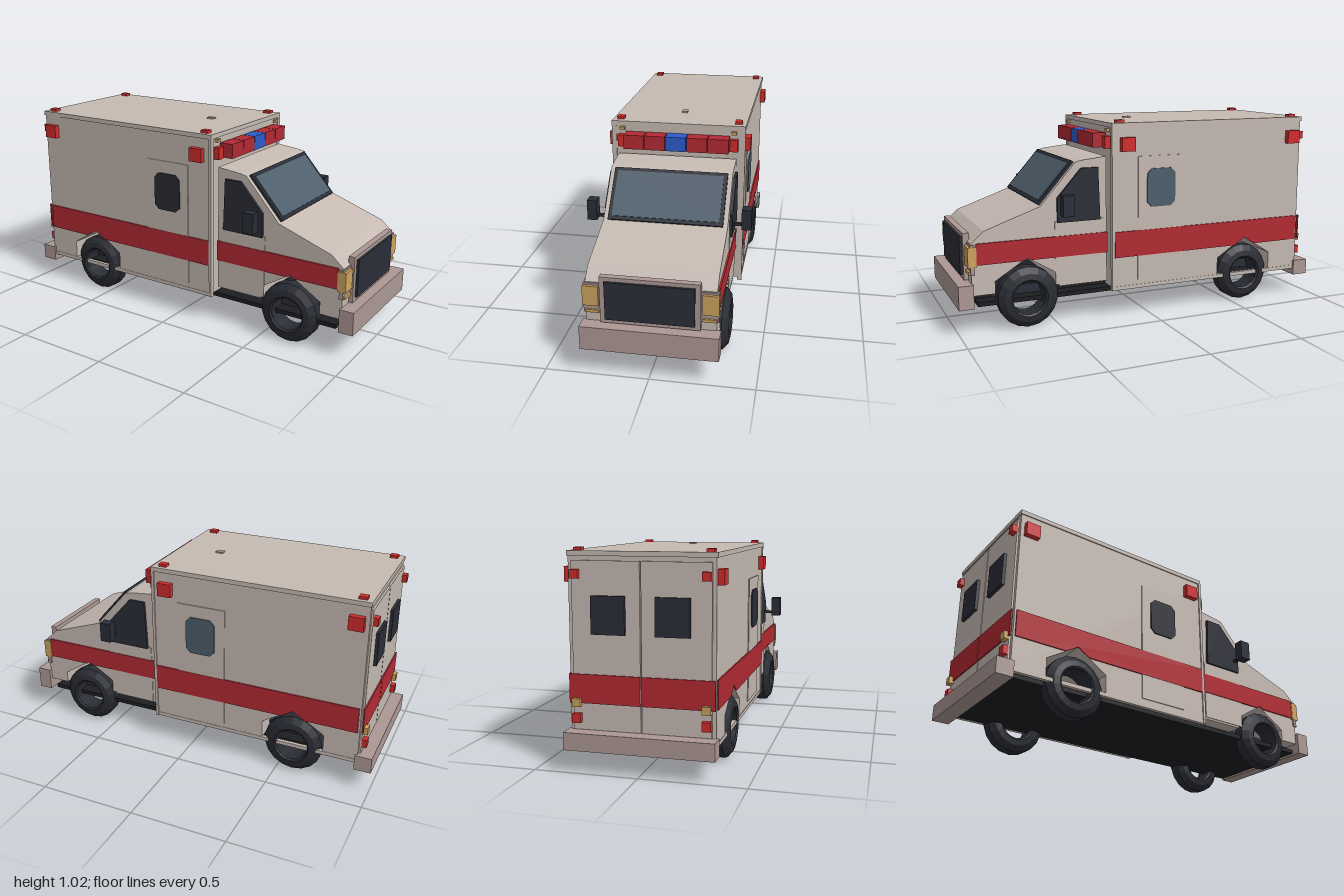
import * as THREE from 'three';

const mat = (name, color) => Object.assign(new THREE.MeshStandardMaterial({ color }), { name });

export function createModel() {
  const root = new THREE.Group();
  root.name = 'ambulance';
  const body = mat('body beige', 0xc6bab2);
  const bumperMat = mat('bumper taupe', 0xac9894);
  const stripeMat = mat('stripe red', 0xb22a33);
  const lampRed = mat('lamp red', 0xd02c2c);
  const lampBlue = mat('lamp blue', 0x2c5ccb);
  const amber = mat('lamp amber', 0xcba35f);
  const dark = mat('dark trim', 0x2a2d37);
  const glass = mat('glass', 0x4e5f6c);
  const floorMat = mat('underbody black', 0x1d1e21);

  const add = (name, geo, m, parent = root) => {
    const mesh = new THREE.Mesh(geo, m);
    mesh.name = name;
    parent.add(mesh);
    return mesh;
  };
  // Box given by its limits on each axis
  const box = (name, m, x0, x1, y0, y1, z0, z1) => {
    const g = new THREE.BoxGeometry(x1 - x0, y1 - y0, z1 - z0);
    g.translate((x0 + x1) / 2, (y0 + y1) / 2, (z0 + z1) / 2);
    return add(name, g, m);
  };
  const boxPair = (name, m, x0, x1, y0, y1, z0, z1) => {
    box(name + 'Right', m, x0, x1, y0, y1, z0, z1);
    box(name + 'Left', m, x0, x1, y0, y1, -z1, -z0);
  };
  // Side profile extruded between two z limits
  const slab = (name, m, pts, z0, z1) => {
    const shape = new THREE.Shape(pts.map(p => new THREE.Vector2(...p)));
    const g = new THREE.ExtrudeGeometry(shape, { depth: z1 - z0, bevelEnabled: false });
    g.translate(0, 0, z0);
    return add(name, g, m);
  };
  const slabPair = (name, m, pts, z0, z1, m2 = m) => {
    slab(name + 'Right', m, pts, z0, z1);
    slab(name + 'Left', m2, pts, -z1, -z0);
  };

  const rearX = -0.58, frontX = 0.65, peak = 0.355, slope = 0.62;
  // Peaked wheel opening, listed from rear to front
  const arch = (cx, y) => [[cx - 0.165, y], [cx - 0.165, 0.253], [cx, peak], [cx + 0.165, 0.253], [cx + 0.165, y]];
  // Stripe with a notch where the opening cuts into it
  const stripe = (x0, x1, y0, cx) => {
    const d = (peak - y0) / slope;
    return [[x0, y0], [cx - d, y0], [cx, peak], [cx + d, y0], [x1, y0], [x1, 0.45], [x0, 0.45]];
  };

  // Rear compartment
  slab('rearBody', body, [[-0.925, 0.155], ...arch(rearX, 0.155), [0.205, 0.155], [0.205, 0.985], [-0.925, 0.985]], -0.343, 0.343);
  box('roofCap', body, -0.93, 0.21, 0.985, 1.008, -0.349, 0.349);
  boxPair('sill', body, -0.925, 0.2, 0.14, 0.16, 0.325, 0.345);
  boxPair('cornerTrim', body, 0.195, 0.21, 0.14, 0.985, 0.325, 0.349);
  boxPair('sideDoor', body, -0.2, 0.065, 0.185, 0.835, 0.343, 0.348);
  slabPair('rearStripe', stripeMat, stripe(-0.915, 0.195, 0.315, rearX), 0.343, 0.35);
  slabPair('sideDoorWindow', dark, [[-0.12, 0.57], [-0.01, 0.57], [0.015, 0.595], [0.015, 0.745],
    [-0.01, 0.77], [-0.12, 0.77], [-0.145, 0.745], [-0.145, 0.595]], 0.347, 0.354, glass);

  // Rear doors
  boxPair('rearDoor', body, -0.935, -0.925, 0.19, 0.965, 0.003, 0.325);
  boxPair('rearDoorStripe', stripeMat, -0.941, -0.934, 0.315, 0.45, 0.003, 0.343);
  boxPair('rearDoorWindow', dark, -0.951, -0.934, 0.635, 0.81, 0.07, 0.23);

  // Rear lamps, side lamps and roof lamps
  boxPair('rearUpperLamp', lampRed, -0.96, -0.925, 0.885, 0.925, 0.285, 0.325);
  boxPair('rearLowerLamp', lampRed, -0.96, -0.925, 0.225, 0.268, 0.285, 0.325);
  boxPair('rearAmberLamp', amber, -0.96, -0.925, 0.3, 0.338, 0.285, 0.325);
  for (const [x0, x1] of [[-0.905, -0.83], [0.09, 0.165]]) boxPair('sideLamp', lampRed, x0, x1, 0.865, 0.935, 0.34, 0.372);
  for (const x of [-0.88, 0.155]) boxPair('roofLamp', lampRed, x - 0.021, x + 0.021, 1.005, 1.022, 0.291, 0.327);
  box('roofVent', bumperMat, -0.04, 0, 1.005, 1.015, -0.015, 0.015);

  // Light bar above the cab
  for (let i = -2; i <= 2; i++) {
    box('lightBarSegment', i ? stripeMat : lampBlue, 0.213, 0.285, 0.882, 0.956, i * 0.109 - 0.0525, i * 0.109 + 0.0525);
  }
  boxPair('frontCornerLamp', lampRed, 0.205, 0.235, 0.878, 0.94, 0.272, 0.313);
  boxPair('frontMarker', amber, 0.205, 0.222, 0.964, 0.979, 0.277, 0.304);

  // Cab
  slab('cab', body, [[0.225, 0.19], ...arch(frontX, 0.19), [0.93, 0.19], [0.93, 0.45], [0.865, 0.508],
    [0.578, 0.608], [0.392, 0.818], [0.36, 0.826], [0.228, 0.84]], -0.308, 0.308);
  boxPair('cabDoor', body, 0.247, 0.505, 0.2, 0.525, 0.308, 0.312);
  slabPair('cabStripe', stripeMat, stripe(0.225, 0.905, 0.343, frontX), 0.308, 0.316);
  slabPair('cabWindow', dark, [[0.265, 0.52], [0.493, 0.52], [0.493, 0.645], [0.365, 0.788], [0.275, 0.788]], 0.308, 0.322);

  // Windshield leaning along the front pillar
  const shield = new THREE.Group();
  shield.name = 'windshield';
  shield.position.set(0.488, 0.715, 0);
  shield.rotation.z = Math.atan2(-0.21, 0.186);
  root.add(shield);
  add('windshieldFrame', new THREE.BoxGeometry(0.276, 0.018, 0.57), dark, shield);
  add('windshieldGlass', new THREE.BoxGeometry(0.24, 0.006, 0.534), glass, shield).position.y = 0.01;

  // Mirrors
  boxPair('mirrorArm', dark, 0.455, 0.475, 0.577, 0.59, 0.3, 0.37);
  boxPair('mirror', dark, 0.435, 0.495, 0.565, 0.67, 0.366, 0.415);

  // Nose: grille, headlamps and indicators
  box('grilleSurround', bumperMat, 0.92, 0.952, 0.255, 0.49, -0.235, 0.235);
  box('grille', dark, 0.945, 0.964, 0.277, 0.47, -0.21, 0.21);
  boxPair('headlampBezel', bumperMat, 0.915, 0.935, 0.295, 0.445, 0.235, 0.317);
  boxPair('headlamp', amber, 0.905, 0.948, 0.335, 0.435, 0.243, 0.319);
  boxPair('indicator', amber, 0.92, 0.945, 0.298, 0.312, 0.243, 0.309);

  // Bumpers and underbody
  box('frontBumper', bumperMat, 0.925, 1, 0.13, 0.25, -0.327, 0.327);
  box('rearBumper', bumperMat, -1, -0.912, 0.105, 0.188, -0.355, 0.355);
  box('chassis', floorMat, -0.9, 0.92, 0.14, 0.2, -0.23, 0.23);
  box('floor', floorMat, -0.92, 0.9, 0.13, 0.152, -0.3, 0.3);
  for (const x of [rearX, frontX]) box('axleBeam', dark, x - 0.165, x + 0.165, 0.131, 0.2, -0.232, 0.232);

  // Hollow tyres with tapered shoulders
  const tyre = new THREE.LatheGeometry([[0.085, -0.05], [0.095, -0.058], [0.125, -0.052], [0.155, -0.027],
    [0.155, 0.027], [0.125, 0.052], [0.095, 0.058], [0.085, 0.05], [0.085, -0.05]]
    .map(p => new THREE.Vector2(...p)), 18).rotateX(Math.PI / 2);
  const tyreMat = mat('tyre', 0x2a2c34);
  tyreMat.flatShading = true;
  tyreMat.side = THREE.DoubleSide;
  for (const [x, z] of [[rearX, 0.297], [frontX, 0.285]]) {
    for (const s of [-1, 1]) add('wheel', tyre, tyreMat).position.set(x, 0.155, s * z);
  }
  return root;
}
